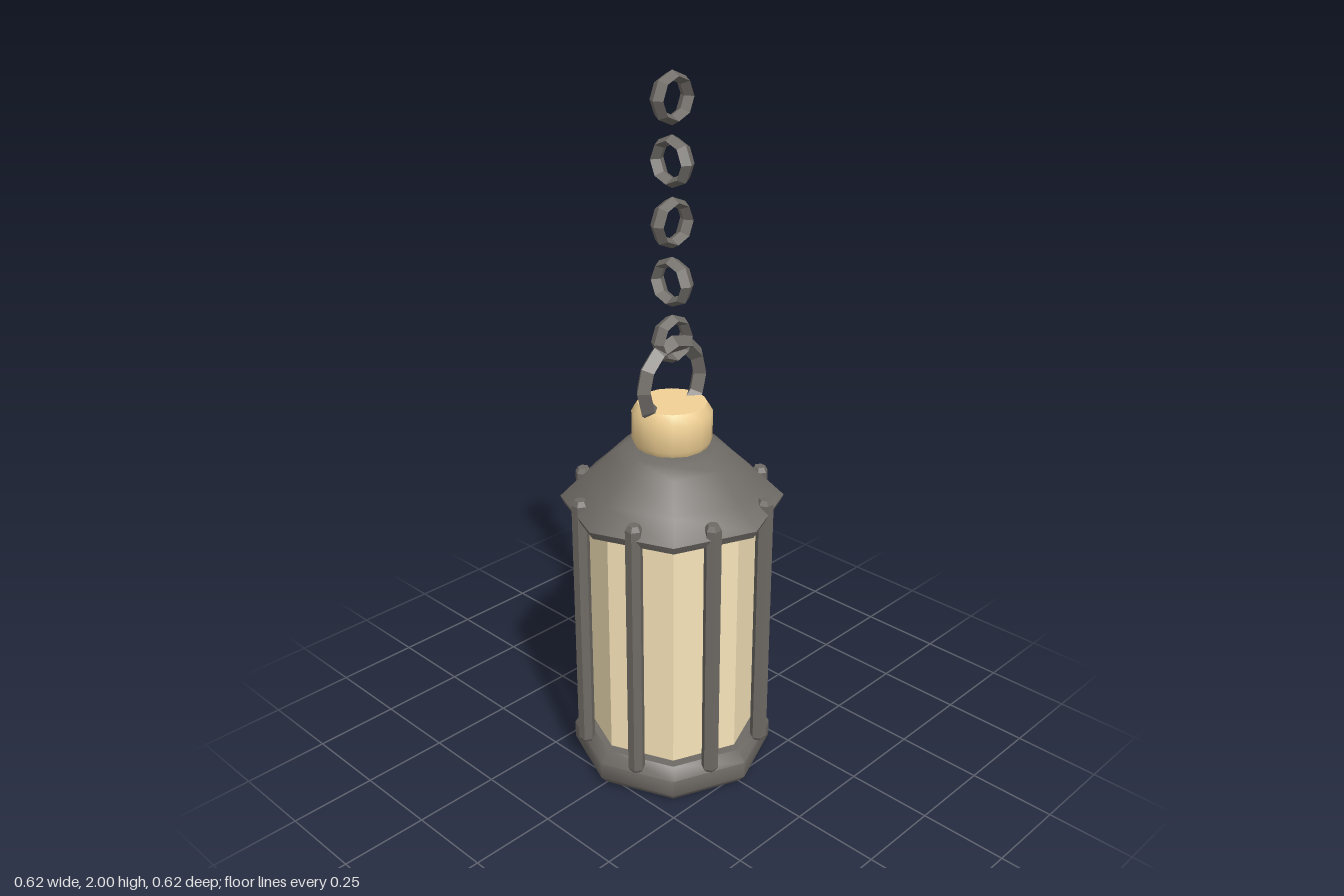
import * as THREE from 'three';
import { toCreasedNormals } from 'three/addons/utils/BufferGeometryUtils.js';

const iron = new THREE.MeshStandardMaterial({ color: 0x6e6a65 });
const ironFlat = new THREE.MeshStandardMaterial({ color: 0x6e6a65, flatShading: true });
const brass = new THREE.MeshStandardMaterial({ color: 0xf0d094 });
const glass = new THREE.MeshStandardMaterial({ color: 0xf8e4ba, flatShading: true });

// Turned part from [radius, y] pairs listed bottom to top
function turned(points, sides, crease = 0.85) {
  const geo = new THREE.LatheGeometry(points.map(([r, y]) => new THREE.Vector2(r, y)), sides);
  return toCreasedNormals(geo, crease);
}

// Low-poly ring facing +z, with a diamond section
function ringGeometry(outer, inner, halfWidth, sides) {
  const mid = (outer + inner) / 2;
  const section = [[inner, 0], [mid, -halfWidth], [outer, 0], [mid, halfWidth], [inner, 0]];
  return turned(section, sides).rotateX(Math.PI / 2);
}

export function createModel() {
  const model = new THREE.Group();
  const add = (name, geo, mat, parent = model) => {
    const mesh = new THREE.Mesh(geo, mat);
    mesh.name = name;
    parent.add(mesh);
    return mesh;
  };

  // Octagonal body
  add('base', turned([[0, 0], [0.27, 0], [0.292, 0.025], [0.292, 0.075], [0.265, 0.108], [0, 0.108]], 8), iron);
  add('glass', new THREE.CylinderGeometry(0.25, 0.25, 0.71, 8).translate(0, 0.473, 0), glass);
  add('roof', turned([[0, 0.815], [0.302, 0.815], [0.312, 0.837], [0.25, 0.893], [0.175, 0.965],
    [0.14, 0.99], [0.1, 1.0], [0, 1.0]], 8), iron);
  add('cap', turned([[0, 0.995], [0.1, 0.995], [0.111, 1.015], [0.111, 1.095], [0.095, 1.12], [0, 1.12]], 16), brass);

  // Eight upright bars at the middle of each side
  const bars = new THREE.Group();
  bars.name = 'bars';
  model.add(bars);
  const barGeo = turned([[0, 0.09], [0.018, 0.09], [0.024, 0.1], [0.024, 0.862], [0.016, 0.876], [0, 0.876]], 6);
  for (let i = 0; i < 8; i++) {
    const a = (i + 0.5) * Math.PI / 4;
    const bar = add('bar', barGeo, ironFlat, bars);
    bar.position.set(Math.sin(a) * 0.272, 0, Math.cos(a) * 0.272);
    bar.rotation.y = (Math.round(a / (Math.PI / 2)) + 1) * Math.PI / 2;
  }

  // Hanging ring, sunk into the cap
  add('hangingRing', ringGeometry(0.132, 0.084, 0.025, 12), ironFlat).position.y = 1.178;

  // Chain of links turned a quarter each time
  const chain = new THREE.Group();
  chain.name = 'chain';
  model.add(chain);
  const linkGeo = ringGeometry(0.068, 0.042, 0.024, 8);
  for (let i = 0; i < 5; i++) {
    const link = add('chainLink', linkGeo, ironFlat, chain);
    link.position.y = 1.3 + i * 0.158;
    link.rotation.y = (i % 2) * Math.PI / 2;
  }
  return model;
}
